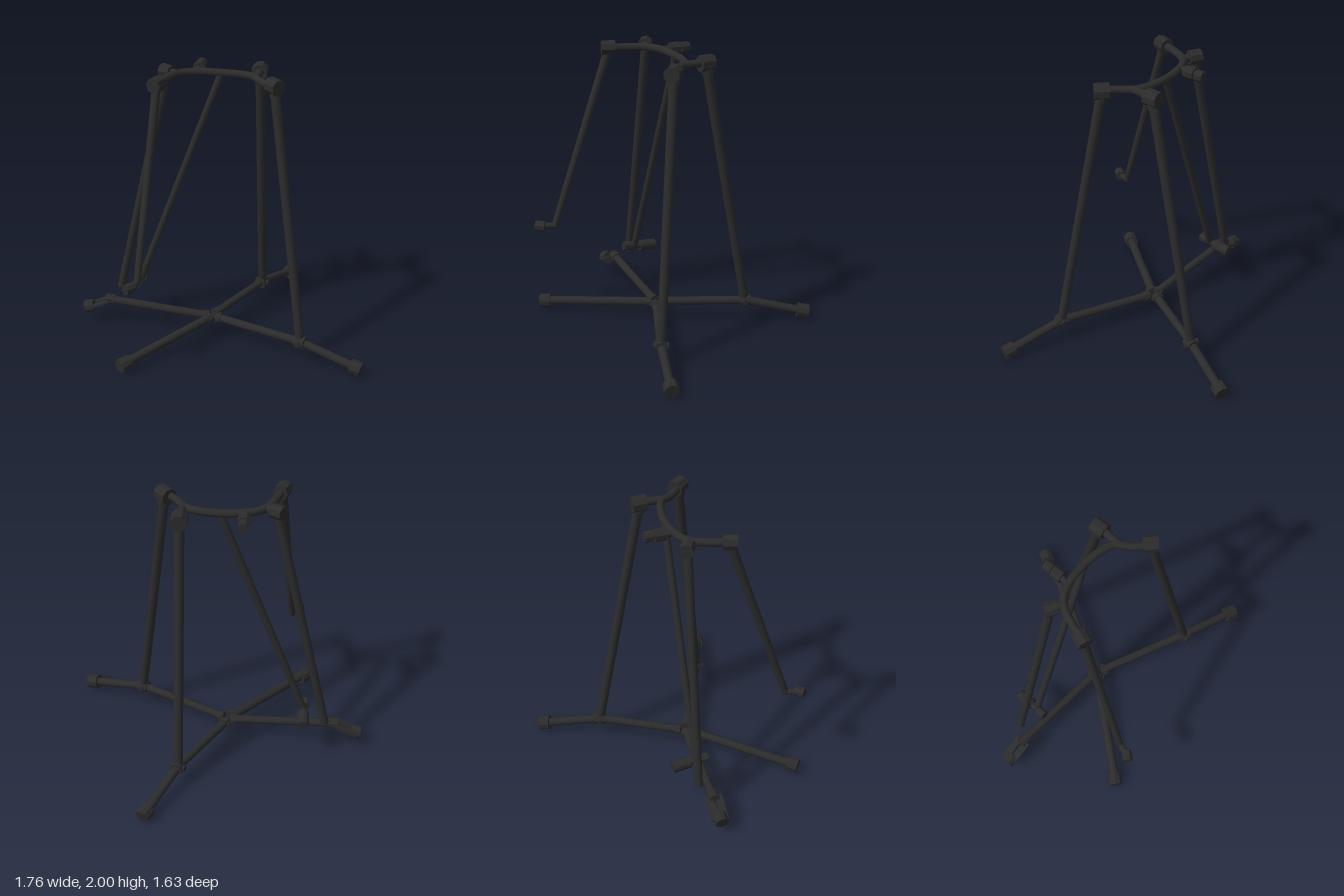
import * as THREE from 'three';

export function createModel() {
  const group = new THREE.Group();
  group.name = 'foldingStand';
  const charcoal = new THREE.MeshStandardMaterial({ color: 0x2b2b2b });
  charcoal.name = 'charcoal';
  const block = charcoal.clone();
  block.flatShading = true;
  block.name = 'charcoalFaceted';

  const V = (p) => new THREE.Vector3(...p);
  const Y = new THREE.Vector3(0, 1, 0);

  // round bar or faceted block between two points
  function bar(name, a, b, r, sides = 14, r2 = r) {
    const A = V(a), B = V(b), d = B.clone().sub(A);
    const g = new THREE.CylinderGeometry(r2, r, d.length(), sides);
    const m = new THREE.Mesh(g, sides < 10 ? block : charcoal);
    m.position.copy(A).add(B).multiplyScalar(0.5);
    m.quaternion.setFromUnitVectors(Y, d.normalize());
    m.name = name;
    group.add(m);
    return m;
  }
  // faceted block centred on a point, lying along a direction
  function cap(name, c, dir, len, r, sides = 8) {
    const d = V(dir).normalize().multiplyScalar(len / 2), C = V(c);
    return bar(name, C.clone().sub(d).toArray(), C.clone().add(d).toArray(), r, sides);
  }
  function elbow(name, p, r) {
    const m = new THREE.Mesh(new THREE.SphereGeometry(r, 14, 10), charcoal);
    m.position.set(...p);
    m.name = name;
    group.add(m);
  }
  // flat box turned about y so its length follows a direction
  function plate(name, c, dir, size) {
    const m = new THREE.Mesh(new THREE.BoxGeometry(...size), charcoal);
    m.position.set(...c);
    m.quaternion.setFromUnitVectors(new THREE.Vector3(1, 0, 0), V(dir).normalize());
    m.name = name;
    group.add(m);
  }

  // curved top rail
  const rail = new THREE.CatmullRomCurve3([
    [-0.385, 1.95, -0.02], [-0.31, 1.95, -0.11], [-0.225, 1.95, -0.19], [-0.15, 1.95, -0.218],
    [-0.06, 1.95, -0.215], [0.07, 1.945, -0.175], [0.2, 1.945, -0.105], [0.28, 1.945, -0.03],
    [0.3, 1.94, 0.05], [0.32, 1.94, 0.12], [0.36, 1.94, 0.19],
  ].map(V));
  const railMesh = new THREE.Mesh(new THREE.TubeGeometry(rail, 64, 0.027, 12), charcoal);
  railMesh.name = 'topRail';
  group.add(railMesh);

  // rail branches
  bar('rearLeftBranch', [0.29, 1.945, 0], [0.365, 1.945, -0.15], 0.027);
  bar('rearRightBranch', [-0.2, 1.95, -0.195], [-0.26, 1.95, -0.27], 0.027);
  bar('rearStub', [-0.07, 1.95, -0.21], [0, 1.95, -0.36], 0.022);

  // blocks on the rail ends
  cap('railBlock', [-0.385, 1.95, -0.02], [-0.165, 0, 0.18], 0.095, 0.053);
  cap('railBlock', [-0.26, 1.95, -0.27], [-0.06, 0, -0.08], 0.085, 0.05);
  cap('railBlock', [-0.025, 1.95, -0.3], [0.4, 0, -1], 0.075, 0.044);
  cap('railBlock', [0.005, 1.95, -0.37], [0.4, 0, -1], 0.06, 0.038);
  for (const s of [-1, 1]) {
    const z = s > 0 ? 0.185 : -0.155;
    cap('railBlock', [0.363, 1.94, z], [0.4, 0, s], 0.1, 0.057);

    // left legs, base arms and feet
    const top = [0.365, 1.93, z], knee = [0.5, 0.15, s * 0.47], foot = [0.815, 0.06, s * 0.75];
    bar('leg', knee, top, 0.031, 14, 0.034);
    cap('legSocket', [0.369, 1.9, z + s * 0.004], [0.135, -1.78, s * 0.3], 0.06, 0.042);
    bar('baseArm', s > 0 ? [0.03, 0.135, -0.04] : [0.03, 0.135, -0.095], knee, 0.029);
    bar('outerArm', knee, foot, 0.03);
    cap('kneeBracket', knee, [1, 0, s], 0.08, 0.044);
    cap('kneePin', knee, [1, 0, -s], 0.105, 0.022);
    cap('footCap', foot, [0.315, -0.08, s * 0.28], 0.08, 0.052, 9);
  }

  // right base arms
  bar('baseArm', [-0.03, 0.13, -0.045], [-0.72, 0.065, 0.32], 0.031);
  cap('footCap', [-0.72, 0.062, 0.32], [-0.69, -0.06, 0.37], 0.08, 0.05, 9);
  bar('baseArm', [-0.03, 0.135, -0.085], [-0.69, 0.185, -0.41], 0.029);
  cap('armEndBlock', [-0.68, 0.185, -0.405], [-0.9, 0.05, -0.42], 0.07, 0.038);

  // forked foot of the rear right arm
  for (const s of [-1, 1])
    plate('footForkPlate', [-0.755 + s * 0.013, 0.152, -0.438 - s * 0.03], [-0.13, -0.065, -0.058], [0.18, 0.05, 0.014]);
  cap('footCap', [-0.825, 0.118, -0.465], [-0.13, -0.03, -0.058], 0.07, 0.048, 9);

  // hub knuckles
  for (const [x, z, dx, dz] of [[0.045, -0.02, 1, 1.1], [0.045, -0.105, 1, -0.85], [-0.03, -0.04, -1, 0.53], [-0.03, -0.085, -1, -0.5]]) {
    cap('hubKnuckle', [x, 0.135, z], [dx, 0, dz], 0.04, 0.036);
    cap('hubPin', [x, 0.135, z], [-dz, 0, dx], 0.085, 0.014);
  }

  // front right hanging arm with hooked end
  bar('hangingArm', [-0.612, 0.68, 0.315], [-0.385, 1.94, -0.02], 0.024, 14, 0.03);
  elbow('armElbow', [-0.612, 0.68, 0.315], 0.024);
  bar('armHook', [-0.612, 0.68, 0.315], [-0.675, 0.68, 0.385], 0.022);
  cap('armTip', [-0.68, 0.68, 0.39], [-0.9, 0, 0.42], 0.07, 0.037);

  // rear right hanging leg
  bar('hangingLeg', [-0.588, 0.255, -0.457], [-0.26, 1.94, -0.27], 0.028, 14, 0.031);

  // cross arm with a round grip at its lower end
  bar('crossArm', [-0.455, 0.35, -0.37], [0.09, 1.935, -0.165], 0.025);
  bar('gripAxle', [-0.49, 0.355, -0.3], [-0.42, 0.335, -0.46], 0.024);
  cap('gripStop', [-0.485, 0.353, -0.325], [0.07, -0.02, -0.16], 0.065, 0.034);
  bar('grip', [-0.442, 0.34, -0.41], [-0.396, 0.328, -0.525], 0.04);
  return group;
}
